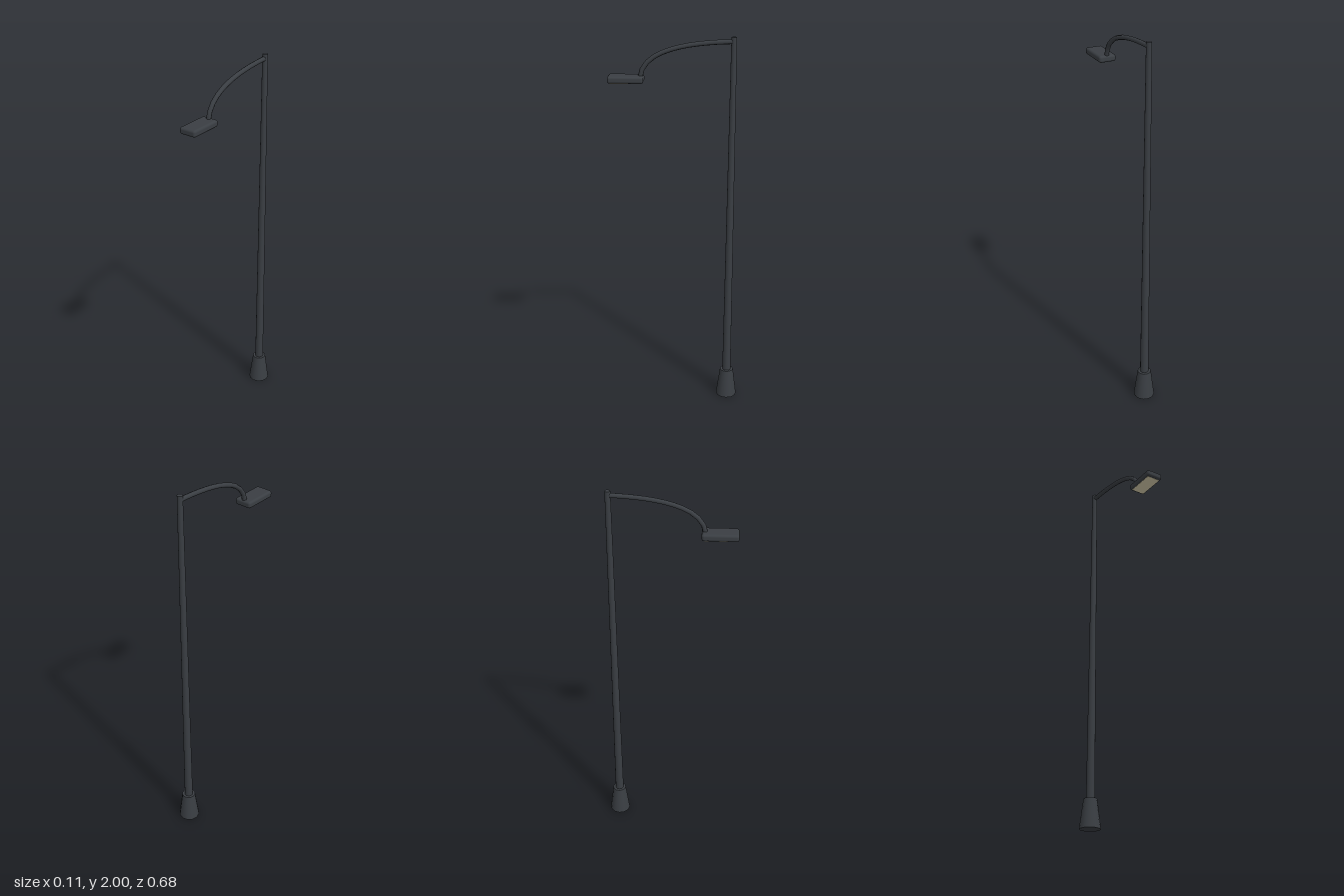
import * as THREE from 'three';
import { RoundedBoxGeometry } from 'three/addons/geometries/RoundedBoxGeometry.js';

const POLE_Z = -0.284;

export function createModel() {
  const group = new THREE.Group();
  const metal = new THREE.MeshStandardMaterial({ color: 0x3a3e43 });
  const glass = new THREE.MeshStandardMaterial({ color: 0xd8cfae });

  function add(name, geometry, material, x, y, z) {
    const mesh = new THREE.Mesh(geometry, material);
    mesh.name = name;
    mesh.position.set(x, y, z);
    group.add(mesh);
    return mesh;
  }

  // Tapered foot and slender tapered pole
  add('base', new THREE.CylinderGeometry(0.036, 0.056, 0.156, 12), metal, 0, 0.078, POLE_Z);
  add('pole', new THREE.CylinderGeometry(0.014, 0.023, 1.9, 12), metal, 0, 1.05, POLE_Z);

  // Arm leaves the pole level and bends down into the lamp head
  const curve = new THREE.QuadraticBezierCurve3(
    new THREE.Vector3(0, 1.978, POLE_Z),
    new THREE.Vector3(0, 1.967, 0.165),
    new THREE.Vector3(0, 1.795, 0.179)
  );
  add('arm', new THREE.TubeGeometry(curve, 12, 0.012, 8), metal, 0, 0, 0);

  // Flat lamp head with a pale lens underneath
  add('lampHead', new RoundedBoxGeometry(0.092, 0.035, 0.18, 3, 0.012), metal, 0, 1.79, 0.25);
  add('lens', new THREE.BoxGeometry(0.074, 0.006, 0.152), glass, 0, 1.7745, 0.25);

  return group;
}
